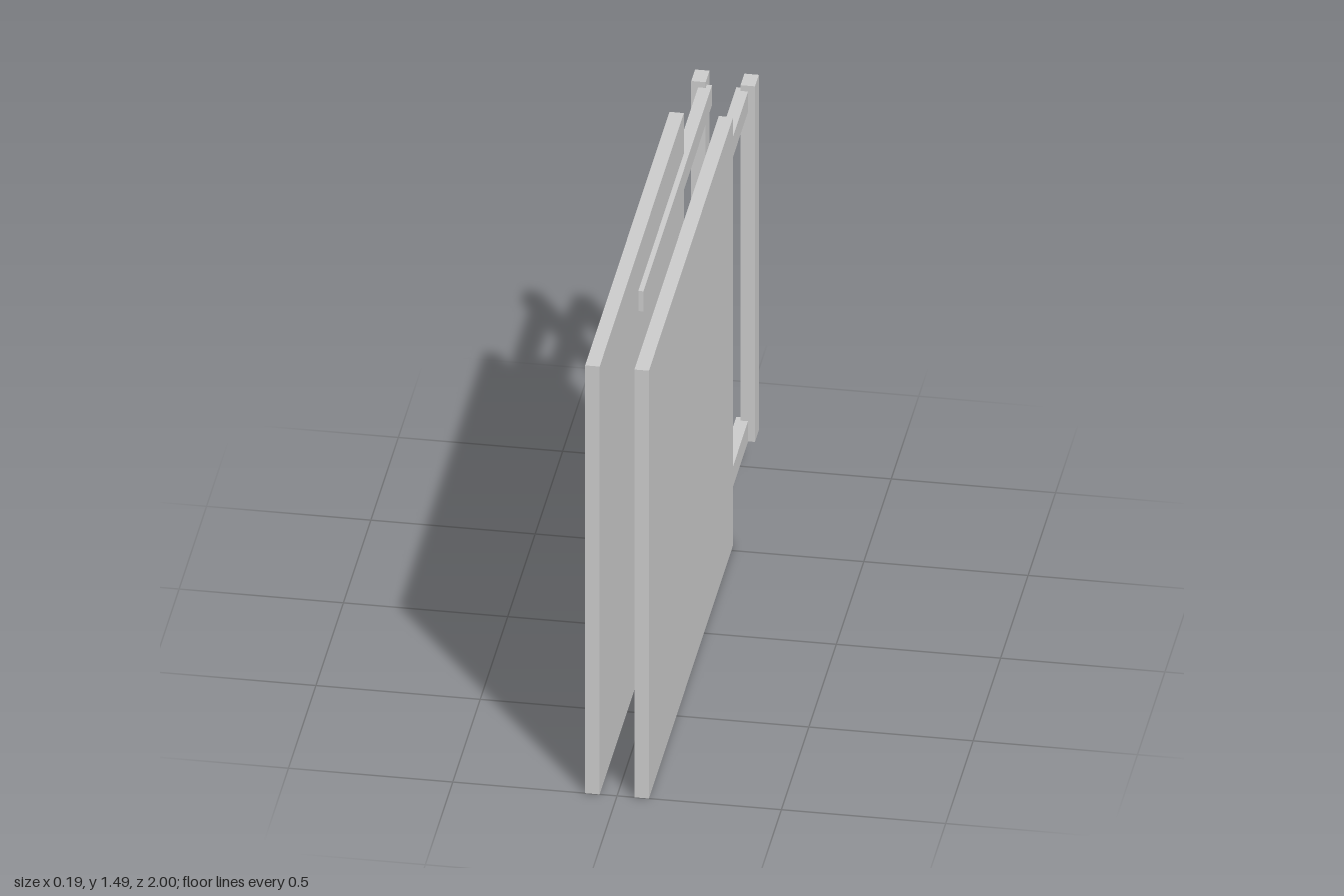
import * as THREE from 'three';

const material = new THREE.MeshStandardMaterial({ color: 0xcccccc, flatShading: true });

// Box given by its [min, max] extents on each axis
function block(name, [x0, x1], [y0, y1], [z0, z1]) {
  const mesh = new THREE.Mesh(new THREE.BoxGeometry(x1 - x0, y1 - y0, z1 - z0), material);
  mesh.name = name;
  mesh.position.set((x0 + x1) / 2, (y0 + y1) / 2, (z0 + z1) / 2);
  return mesh;
}

export function createModel() {
  const model = new THREE.Group();
  model.name = 'slidingPanels';

  for (const side of [1, -1]) {
    const group = new THREE.Group();
    group.name = side > 0 ? 'leftAssembly' : 'rightAssembly';
    const span = (a, b) => (side > 0 ? [a, b] : [-b, -a]);

    // Large flat panel
    group.add(block('panel', span(0.053, 0.097), [0, 1.486], [-0.533, 1]));
    // Upright post behind the panel
    group.add(block('rearPost', span(0.053, 0.097), [0.13, 1.365], [-1, -0.93]));
    // Horizontal rails let into the inner faces of panel and post
    group.add(block('lowerRail', span(0.037, 0.076), [0.13, 0.2], [-0.95, 0.297]));
    group.add(block('upperRail', span(0.037, 0.076), [1.275, 1.345], [-0.95, 0.297]));

    model.add(group);
  }
  return model;
}
